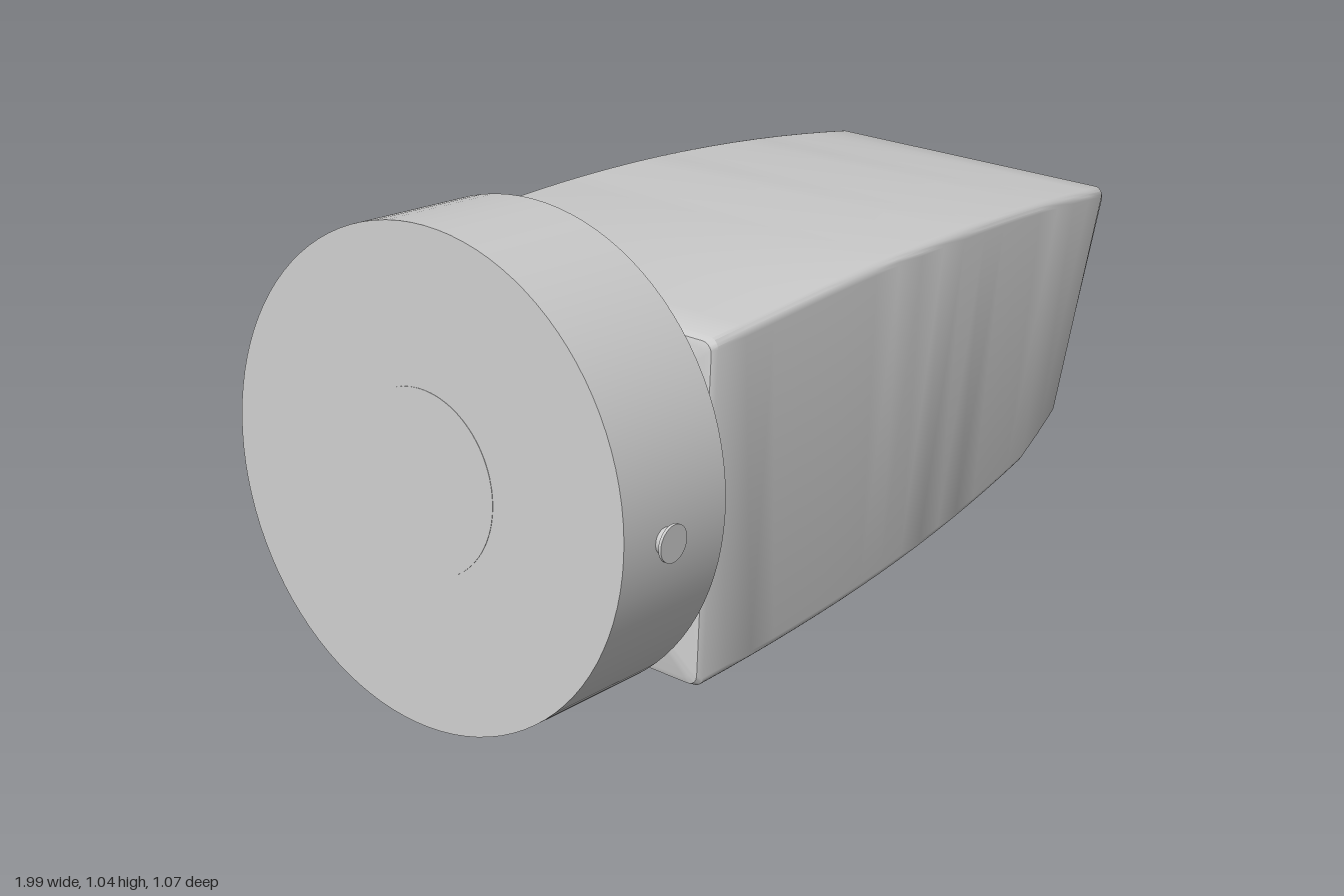
import * as THREE from 'three';
import { toCreasedNormals } from 'three/addons/utils/BufferGeometryUtils.js';

const grey = new THREE.MeshStandardMaterial({ color: 0xcccccc });
const greyDouble = new THREE.MeshStandardMaterial({ color: 0xcccccc, side: THREE.DoubleSide });

// Housing outline: top height, bottom height and half width along x
const topY = x => 0.83 - 0.12 * (Math.max(0, x + 0.3) / 1.27) ** 2;
const bottomY = x => x < 0.58
  ? 0.09 + 0.045 * ((x + 0.2) / 0.78) ** 2
  : 0.135 + 0.36 * (x - 0.58) + 0.35 * (x - 0.58) ** 2;
const halfWidth = x => 0.443 - 0.05 * (Math.max(0, x + 0.2) / 1.1) ** 2;

const EDGE = 0.022; // rounding of the long edges
const ARC = 5;      // segments per rounded corner
const HOLE = { x: -0.305, r: 0.327, top: 0.185 };

function addMesh(parent, name, geometry, material = grey) {
  const mesh = new THREE.Mesh(geometry, material);
  mesh.name = name;
  parent.add(mesh);
  return mesh;
}

// Slanted sections: x at the bottom, x at the top, inset
function housingStations() {
  const list = [[-0.665, -0.612, 0.018], [-0.66, -0.607, 0.006], [-0.647, -0.594, 0]];
  const steps = 16;
  for (let i = 1; i <= steps; i++) {
    const t = i / steps;
    list.push([-0.647 + 1.227 * t, -0.594 + 1.394 * t, 0]);
  }
  const panelEnd = list.length - 1;
  list.push([0.66, 0.88, 0], [0.735, 0.955, 0], [0.76, 0.985, 0.01],
    [0.775, 1.005, 0.026], [0.781, 1.012, 0.045]);
  return { list, panelStart: 2, panelEnd };
}

// One rounded rectangle, counter-clockwise seen from +x, starting at the bottom
function sectionRing([bx, tx, inset]) {
  const bottom = new THREE.Vector3(bx, bottomY(bx), 0);
  const top = new THREE.Vector3(tx, topY(tx), 0);
  const length = bottom.distanceTo(top);
  const points = [];
  [[1, -1], [1, 1], [-1, 1], [-1, -1]].forEach(([side, up], k) => {
    for (let i = 0; i <= ARC; i++) {
      const a = (k - 1 + i / ARC) * Math.PI / 2;
      const s = (up < 0 ? inset + EDGE : length - inset - EDGE) + EDGE * Math.sin(a);
      const p = bottom.clone().lerp(top, s / length);
      p.z = -(side * (halfWidth(p.x) - inset - EDGE) + EDGE * Math.cos(a));
      points.push(p);
    }
  });
  return points;
}

function housingShell({ list, panelStart, panelEnd }) {
  const rings = list.map(sectionRing);
  const n = rings[0].length;
  const positions = [];
  const tri = (...pts) => pts.forEach(p => positions.push(p.x, p.y, p.z));
  for (let i = 0; i < rings.length - 1; i++) {
    for (let j = 0; j < n; j++) {
      // the flat underside around the opening is a separate panel
      if (j === n - 1 && i >= panelStart && i < panelEnd) continue;
      const k = (j + 1) % n;
      const [a, b, c, d] = [rings[i][j], rings[i][k], rings[i + 1][k], rings[i + 1][j]];
      tri(a, b, c);
      tri(a, c, d);
    }
  }
  // end faces
  const cap = (ring, front) => {
    const centre = ring.reduce((s, p) => s.add(p), new THREE.Vector3()).divideScalar(n);
    ring.forEach((p, j) => {
      const q = ring[(j + 1) % n];
      front ? tri(centre, p, q) : tri(centre, q, p);
    });
  };
  cap(rings[0], false);
  cap(rings[rings.length - 1], true);
  const geometry = new THREE.BufferGeometry();
  geometry.setAttribute('position', new THREE.Float32BufferAttribute(positions, 3));
  return toCreasedNormals(geometry, 0.55);
}

function undersidePanel({ list, panelStart, panelEnd }) {
  const xs = list.slice(panelStart, panelEnd + 1).map(s => s[0]);
  const edge = x => halfWidth(x) - EDGE;
  const shape = new THREE.Shape([
    ...xs.map(x => new THREE.Vector2(x, -edge(x))),
    ...xs.slice().reverse().map(x => new THREE.Vector2(x, edge(x))),
  ]);
  shape.holes.push(new THREE.Path().absarc(HOLE.x, 0, HOLE.r, 0, Math.PI * 2, true));
  const geometry = new THREE.ShapeGeometry(shape, 32).rotateX(Math.PI / 2);
  const pos = geometry.attributes.position;
  for (let i = 0; i < pos.count; i++) pos.setY(i, bottomY(pos.getX(i)));
  geometry.computeVertexNormals();
  return geometry;
}

// Wall of the round recess, its lower rim following the underside
function recessWall() {
  const geometry = new THREE.CylinderGeometry(HOLE.r, HOLE.r, 1, 64, 1, true);
  geometry.translate(HOLE.x, 0, 0);
  const pos = geometry.attributes.position;
  for (let i = 0; i < pos.count; i++) {
    pos.setY(i, pos.getY(i) > 0 ? HOLE.top : bottomY(pos.getX(i)));
  }
  return geometry;
}

// Cylinder lying along x, centred on the given x
function axialCylinder(radius, length, x) {
  return new THREE.CylinderGeometry(radius, radius, length, 96)
    .rotateZ(Math.PI / 2).translate(x, 0, 0);
}

export function createModel() {
  const model = new THREE.Group();
  model.name = 'wallLamp';

  // Lamp housing with a round opening underneath
  const housing = new THREE.Group();
  housing.name = 'housing';
  model.add(housing);
  const stations = housingStations();
  addMesh(housing, 'housingShell', housingShell(stations));
  addMesh(housing, 'undersidePanel', undersidePanel(stations));
  addMesh(housing, 'recessWall', recessWall(), greyDouble);
  addMesh(housing, 'recessFloor', new THREE.CircleGeometry(HOLE.r, 64)
    .rotateX(Math.PI / 2).translate(HOLE.x, HOLE.top, 0));

  // Tilted round mount
  const mount = new THREE.Group();
  mount.name = 'mount';
  mount.position.set(-0.808, 0.525, 0);
  mount.rotation.z = THREE.MathUtils.degToRad(-5);
  model.add(mount);
  addMesh(mount, 'mountDisc', axialCylinder(0.511, 0.296, 0));
  addMesh(mount, 'neck', axialCylinder(0.27, 0.09, 0.178));
  addMesh(mount, 'rearCover', axialCylinder(0.19, 0.01, -0.144));

  // Side screws
  for (const side of [1, -1]) {
    const screw = new THREE.Group();
    screw.name = side > 0 ? 'frontScrew' : 'backScrew';
    screw.position.set(-0.032, 0, 0);
    mount.add(screw);
    const pin = (name, r, z0, z1) => addMesh(screw, name,
      new THREE.CylinderGeometry(r, r, z1 - z0, 32)
        .rotateX(Math.PI / 2).translate(0, 0, side * (z0 + z1) / 2));
    pin('screwShaft', 0.026, 0.49, 0.53);
    pin('screwHead', 0.038, 0.527, 0.533);
  }
  return model;
}
